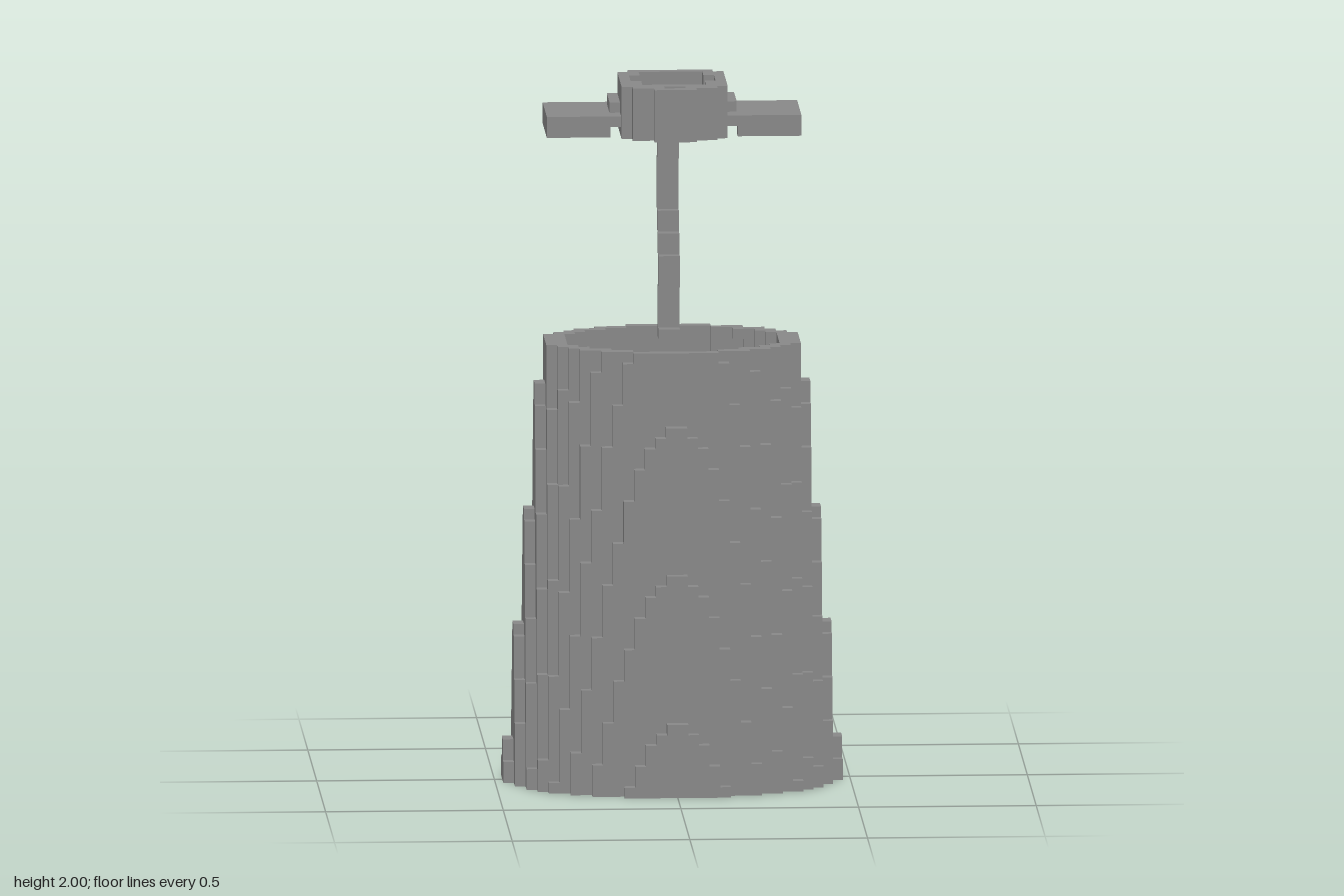
import * as THREE from 'three';

const U = 2 / 67; // edge of one block

// Outer faces of every filled block; filled(x, y, z) takes integer block indices
function blockMesh(name, material, [y0, y1], filled) {
  const pos = [], nor = [], idx = [];
  const dirs = [[1, 0, 0], [-1, 0, 0], [0, 1, 0], [0, -1, 0], [0, 0, 1], [0, 0, -1]];
  const has = (x, y, z) => y >= y0 && y < y1 && filled(x, y, z);
  for (let y = y0; y < y1; y++) for (let x = -17; x < 17; x++) for (let z = -12; z < 12; z++) {
    if (!has(x, y, z)) continue;
    for (const d of dirs) {
      if (has(x + d[0], y + d[1], z + d[2])) continue;
      const n = new THREE.Vector3(...d);
      const u = new THREE.Vector3(Math.abs(d[1]), Math.abs(d[2]), Math.abs(d[0]));
      const v = n.clone().cross(u);
      const c = new THREE.Vector3(x + 0.5, y + 0.5, z + 0.5).addScaledVector(n, 0.5);
      const b = pos.length / 3;
      for (const [s, t] of [[-0.5, -0.5], [0.5, -0.5], [0.5, 0.5], [-0.5, 0.5]]) {
        const p = c.clone().addScaledVector(u, s).addScaledVector(v, t).multiplyScalar(U);
        pos.push(p.x, p.y, p.z);
        nor.push(...d);
      }
      idx.push(b, b + 1, b + 2, b, b + 2, b + 3);
    }
  }
  const g = new THREE.BufferGeometry();
  g.setAttribute('position', new THREE.Float32BufferAttribute(pos, 3));
  g.setAttribute('normal', new THREE.Float32BufferAttribute(nor, 3));
  g.setIndex(idx);
  const mesh = new THREE.Mesh(g, material);
  mesh.name = name;
  return mesh;
}

// Hollow oval skirt that tapers upwards
function skirt(x, y, z) {
  const h = y + 0.5;
  const a = 15.515 - 0.0893 * (h - 4), b = 10.505 - 0.0714 * (h - 7);
  const inOval = (p, q) => Math.hypot((x + 0.5) / p, (z + 0.5) / q) <= 1;
  return inOval(a, b) && !inOval(a - 1.7, b - 1.05);
}

// Wavy strand: [first layer, end layer, z row]
const strandSteps = [[41, 42, -6], [41, 46, -7], [46, 49, -6], [49, 51, -7], [51, 53, -8], [53, 58, -9], [58, 60, -8]];
function strand(x, y, z) {
  return (x === 0 || x === -1) && strandSteps.some(([s, e, row]) => y >= s && y < e && z === row);
}

// Collar: winged plate, ring around an opening, and a clasp in front
function collar(x, y, z) {
  const ax = x < 0 ? -x - 1 : x; // mirrored column index
  const opening = z >= -3 && z < 4 && ax < (z >= -1 && z < 2 ? 4 : 3);
  if (opening) return false;
  // Ring and clasp, full height
  if (z === -4 && ax < 4) return y > 62;
  if (z >= -3 && z < 5 && ax < 5) return true;
  if (z === 5 && ax >= 1 && ax < 4) return true;
  if (z === 6 && ax < 2) return true;
  // Ledge beside the ring
  if (y === 64) return ax === 5 && z >= -3 && z < 2;
  // Wings, hollowed underneath
  if (ax >= 12 || z < -4 || z >= 4 || y > 64) return false;
  if (y === 63) return true;
  return ax >= 6 && (ax === 11 || z === -4 || z === 3);
}

export function createModel() {
  const group = new THREE.Group();
  group.name = 'skirtAndCollar';
  const grey = new THREE.MeshStandardMaterial({ color: 0x888888 });
  grey.name = 'grey';
  group.add(
    blockMesh('skirt', grey, [0, 42], skirt),
    blockMesh('strand', grey, [41, 60], strand),
    blockMesh('collar', grey, [62, 67], collar),
  );
  return group;
}
